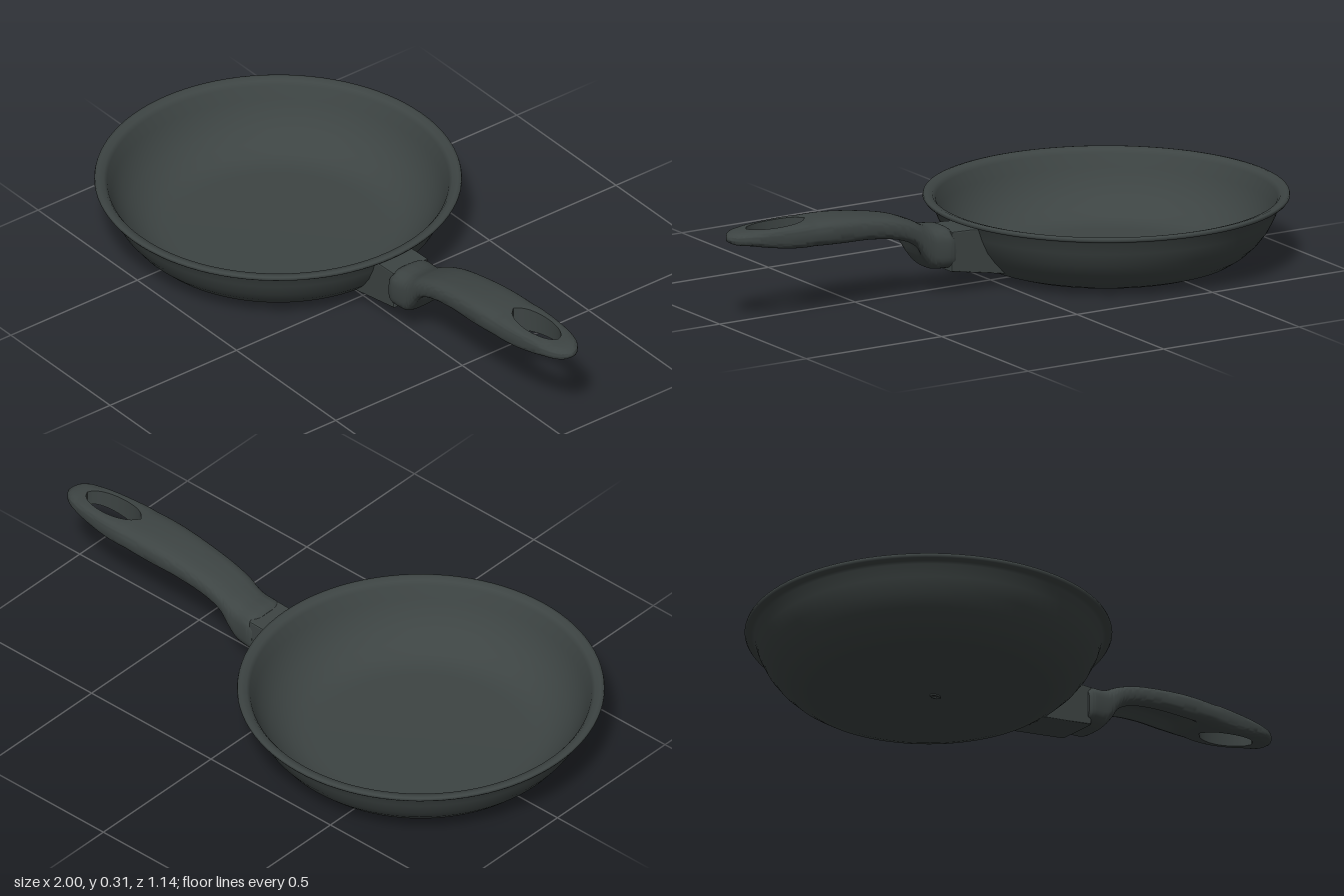
import * as THREE from 'three';
import { toCreasedNormals } from 'three/addons/utils/BufferGeometryUtils.js';

const coating = new THREE.MeshStandardMaterial({ color: 0x3d4443 });
coating.name = 'dark coating';

function addMesh(group, name, geometry) {
  const mesh = new THREE.Mesh(geometry, coating);
  mesh.name = name;
  group.add(mesh);
  return mesh;
}

// Handle sections: x, top y, bottom y, right z, left z
const sections = [
  [0.19, 0.205, 0.078, -0.100, 0.048],
  [0.21, 0.216, 0.080, -0.104, 0.054],
  [0.26, 0.222, 0.085, -0.100, 0.052],
  [0.29, 0.232, 0.115, -0.100, 0.050],
  [0.33, 0.252, 0.170, -0.101, 0.048],
  [0.40, 0.276, 0.200, -0.105, 0.046],
  [0.50, 0.295, 0.215, -0.111, 0.047],
  [0.60, 0.307, 0.219, -0.117, 0.049],
  [0.70, 0.310, 0.225, -0.120, 0.046],
  [0.80, 0.307, 0.236, -0.119, 0.037],
  [0.90, 0.306, 0.252, -0.110, 0.023],
  [0.95, 0.305, 0.259, -0.098, 0.011],
  [0.98, 0.300, 0.264, -0.080, -0.008],
  [0.995, 0.291, 0.272, -0.060, -0.028],
];

// Smooth interpolation through the section table
function sectionAt(t) {
  const last = sections.length - 1;
  const i = Math.min(Math.floor(t), last - 1);
  const f = t - i;
  const row = (k) => sections[Math.max(0, Math.min(last, k))];
  return row(i).map((b, c) => {
    const a = row(i - 1)[c], d = row(i + 1)[c], e = row(i + 2)[c];
    return b + 0.5 * f * (d - a + f * (2 * a - 5 * b + 4 * d - e + f * (3 * (b - d) + e - a)));
  });
}

// One lengthwise half of the handle; the halves part around the hanging hole
function handleHalf(side) {
  const positions = [], index = [];
  const around = 20, perSection = 10;
  const count = (sections.length - 1) * perSection;
  const ring = around + 1;
  for (let i = -1; i <= count + 1; i++) {
    const cap = i < 0 || i > count;
    const t = Math.max(0, Math.min(count, i)) / perSection;
    const [x, top, bottom, zMin, zMax] = sectionAt(t);
    const mid = (top + bottom) / 2, h = (top - bottom) / 2;
    const zc = (zMin + zMax) / 2, outer = (zMax - zMin) / 2;
    const e = (x - 0.822) / 0.105;
    const hole = Math.abs(e) < 1 ? 0.045 * Math.sqrt(1 - e * e) : 0;
    const groove = 0.035 * THREE.MathUtils.smoothstep(x, 0.26, 0.34)
      * (1 - THREE.MathUtils.smoothstep(x, 0.6, 0.71));
    for (let j = 0; j < ring; j++) {
      const a = Math.PI * j / around;
      const c = Math.cos(a);
      const u = Math.pow(Math.max(0, Math.sin(a)), 0.7);
      let y = mid + h * Math.sign(c) * Math.pow(Math.abs(c), 0.6);
      if (c < 0) y += groove * (1 - THREE.MathUtils.smoothstep(u, 0.35, 0.7));
      if (cap) positions.push(i < 0 ? x : 1, mid, zc);
      else positions.push(x, y, zc + side * (hole + (outer - hole) * u));
    }
  }
  for (let i = 0; i < count + 2; i++) {
    for (let j = 0; j < ring; j++) {
      const a = i * ring + j, b = i * ring + (j + 1) % ring;
      const c = a + ring, d = b + ring;
      if (side > 0) index.push(a, b, c, b, d, c);
      else index.push(a, c, b, b, c, d);
    }
  }
  const geometry = new THREE.BufferGeometry();
  geometry.setAttribute('position', new THREE.Float32BufferAttribute(positions, 3));
  geometry.setIndex(index);
  return toCreasedNormals(geometry, 0.8);
}

export function createModel() {
  const model = new THREE.Group();
  model.name = 'fryingPan';

  // Bowl: outer wall, flared rim, then inner wall back to the centre
  const profile = [
    [0, 0.005], [0.34, 0.006], [0.375, 0.01], [0.41, 0.022], [0.445, 0.045],
    [0.48, 0.078], [0.508, 0.115], [0.53, 0.16], [0.542, 0.198], [0.552, 0.204],
    [0.568, 0.208], [0.572, 0.214], [0.57, 0.221], [0.56, 0.223], [0.542, 0.218],
    [0.532, 0.205], [0.518, 0.165], [0.496, 0.12], [0.468, 0.084], [0.435, 0.054],
    [0.4, 0.034], [0.365, 0.024], [0.32, 0.02], [0, 0.019],
  ].map(([r, y]) => new THREE.Vector2(r, y));
  const bowl = addMesh(model, 'bowl', new THREE.LatheGeometry(profile, 96));
  bowl.position.x = -0.428;

  // Small raised ring under the base
  const baseRing = addMesh(model, 'baseRing', new THREE.TorusGeometry(0.016, 0.004, 8, 24));
  baseRing.rotation.x = Math.PI / 2;
  baseRing.scale.y = 0.6;
  baseRing.position.set(-0.4, 0.004, 0);

  // Bracket that follows the bowl wall and carries the handle
  const side = new THREE.Shape([
    [0.01, 0.044], [0.2, 0.079], [0.2, 0.2], [0.14, 0.198], [0.108, 0.195],
    [0.095, 0.158], [0.074, 0.115], [0.046, 0.079],
  ].map(([x, y]) => new THREE.Vector2(x, y)));
  const bracket = addMesh(model, 'handleBracket',
    new THREE.ExtrudeGeometry(side, {
      depth: 0.126, bevelEnabled: true, bevelSize: 0.004, bevelThickness: 0.006, bevelSegments: 2,
    }));
  bracket.position.z = -0.092;

  // Handle with a hanging hole and a groove beneath
  const handle = new THREE.Group();
  handle.name = 'handle';
  addMesh(handle, 'handleLeftHalf', handleHalf(1));
  addMesh(handle, 'handleRightHalf', handleHalf(-1));
  model.add(handle);

  return model;
}
